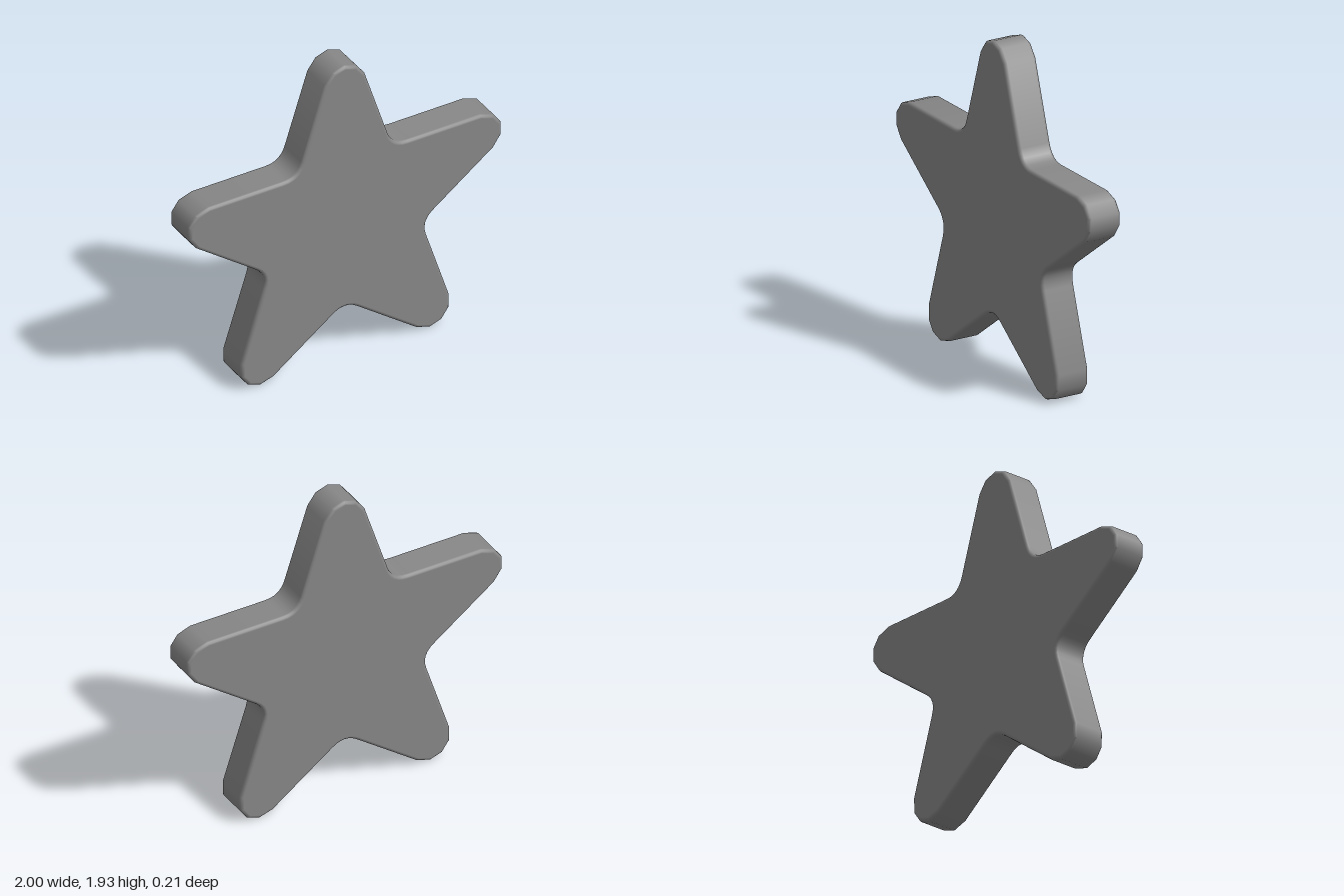
import * as THREE from 'three';
import { toCreasedNormals } from 'three/addons/utils/BufferGeometryUtils.js';

const CENTRE_Y = 0.876;
const TIP_RADIUS = 1.0515;
const VALLEY_RADIUS = 0.517; // sharp inner corner before rounding
const THICKNESS = 0.208;
const BEVEL = 0.02;

// Faceted blunt tip: [sideways, outward from the tip]
const TIP = [[0.129, -0.095], [0.0755, -0.0245], [0, 0], [-0.0755, -0.0245], [-0.129, -0.095]];

function starShape() {
  const points = [];
  for (let i = 0; i < 5; i++) {
    const angle = Math.PI / 2 + i * Math.PI * 2 / 5;
    const polar = (r, a) => new THREE.Vector2(r * Math.cos(a), r * Math.sin(a));

    // faceted arm tip
    const tip = TIP.map(([side, out]) =>
      new THREE.Vector2(TIP_RADIUS + out, -side).rotateAround(new THREE.Vector2(), angle));
    points.push(...tip);

    // rounded valley towards the next arm
    const valleyAngle = angle + Math.PI / 5;
    const corner = polar(VALLEY_RADIUS, valleyAngle);
    const along = (a) => corner.clone().add(polar(0.093, a));
    const curve = new THREE.QuadraticBezierCurve(
      along(valleyAngle - Math.PI * 0.3), corner, along(valleyAngle + Math.PI * 0.3));
    points.push(...curve.getPoints(6));
  }
  return new THREE.Shape(points);
}

// Straight walls and caps stay flat; the rounded edge blends smoothly between them
function blendEdgeNormals(geometry, wallHalfDepth) {
  const { position, normal } = geometry.attributes;
  const wall = new THREE.Vector2();
  for (let i = 0; i < position.count; i++) {
    const z = position.getZ(i);
    const rise = THREE.MathUtils.clamp((Math.abs(z) - wallHalfDepth) / BEVEL, 0, 1);
    wall.set(normal.getX(i), normal.getY(i)).setLength(Math.sqrt(1 - rise * rise));
    normal.setXYZ(i, wall.x, wall.y, Math.sign(z) * rise);
  }
}

export function createModel() {
  const group = new THREE.Group();
  group.name = 'star';

  // thick plate with a narrow rounded edge on both faces
  const depth = THICKNESS - 2 * BEVEL;
  const plate = new THREE.ExtrudeGeometry(starShape(), {
    depth,
    bevelThickness: BEVEL,
    bevelSize: BEVEL,
    bevelOffset: -BEVEL,
    bevelSegments: 3,
  });
  plate.translate(0, CENTRE_Y, -depth / 2);
  const geometry = toCreasedNormals(plate, 0.7);
  blendEdgeNormals(geometry, depth / 2);

  const body = new THREE.Mesh(geometry, new THREE.MeshStandardMaterial({ color: 0x878787 }));
  body.name = 'starBody';
  group.add(body);
  return group;
}
